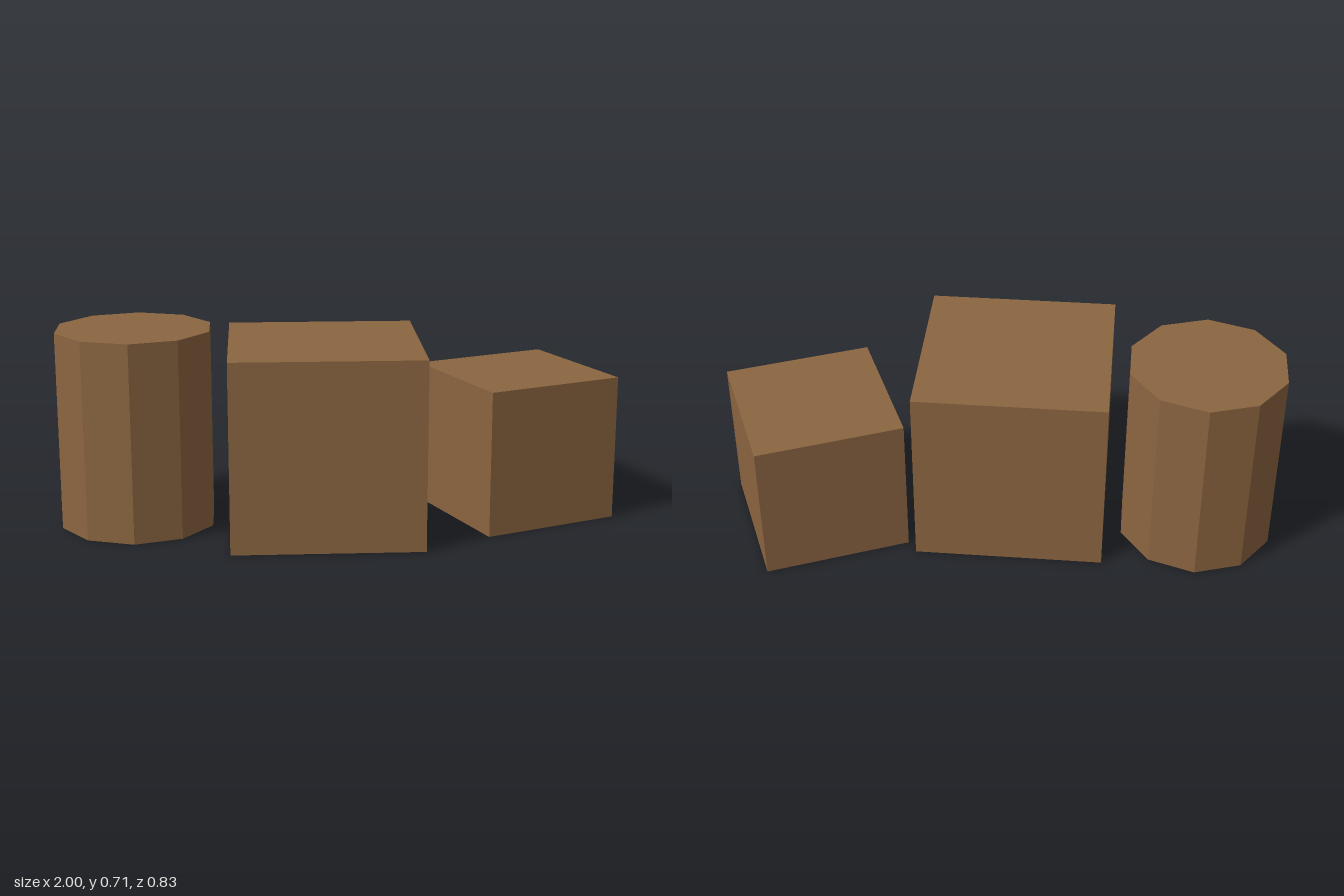
import * as THREE from 'three';

export function createModel() {
  const model = new THREE.Group();
  const wood = new THREE.MeshStandardMaterial({ color: 0x8b6540, flatShading: true });
  wood.name = 'brown wood';

  // Stands a part on the ground at x, z
  function add(name, geometry, height, x, z, turn = 0) {
    const mesh = new THREE.Mesh(geometry, wood);
    mesh.name = name;
    mesh.position.set(x, height / 2, z);
    mesh.rotation.y = turn;
    model.add(mesh);
  }

  // Ten-sided barrel
  add('barrel', new THREE.CylinderGeometry(0.283, 0.283, 0.713, 10), 0.713, -0.731, 0.003);

  // Large crate, and a smaller one turned beside it
  add('largeCrate', new THREE.BoxGeometry(0.674, 0.675, 0.674), 0.675, -0.059, 0.079);
  add('smallCrate', new THREE.BoxGeometry(0.525, 0.525, 0.525), 0.525, 0.655, -0.071, 0.4);

  return model;
}
